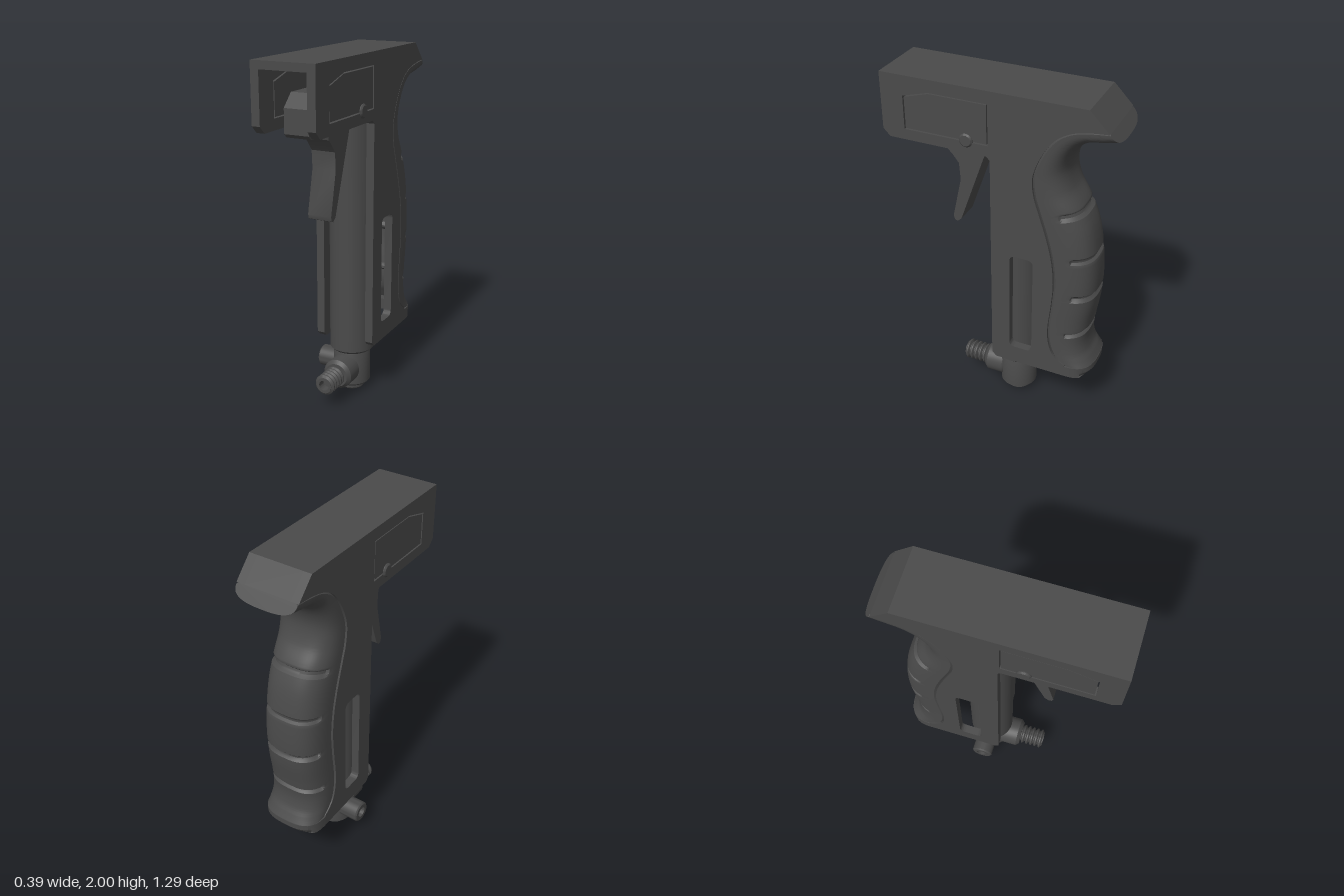
import * as THREE from 'three';
import { toCreasedNormals } from 'three/addons/utils/BufferGeometryUtils.js';

export function createModel() {
  const root = new THREE.Group();
  const body = new THREE.Group();
  body.name = 'sprayHandle';
  body.position.x = 0.005;
  root.add(body);

  const grey = new THREE.MeshStandardMaterial({ color: 0x4a4a4a, side: THREE.DoubleSide });
  grey.name = 'dark grey';

  const add = (name, geo) => {
    const mesh = new THREE.Mesh(geo, grey);
    mesh.name = name;
    body.add(mesh);
    return mesh;
  };
  const shapeOf = (pts) => new THREE.Shape(pts.map(([a, b]) => new THREE.Vector2(a, b)));
  // Extrude a (z, y) outline across x from x0 to x1
  const across = (shape, x0, x1) => {
    const g = new THREE.ExtrudeGeometry(shape, { depth: x1 - x0, bevelEnabled: false, curveSegments: 8 });
    g.rotateY(-Math.PI / 2);
    g.translate(x1, 0, 0);
    return toCreasedNormals(g, 0.5);
  };
  // Lathe from (radius, height) pairs with crisp edges
  const turned = (pts, seg = 40) =>
    toCreasedNormals(new THREE.LatheGeometry(pts.map(([r, h]) => new THREE.Vector2(r, h)), seg), 0.5);

  // Grip stations: [seam z, seam y, back z, back y]
  const stations = [
    [-0.595, 1.893, -0.645, 1.83], [-0.5, 1.883, -0.585, 1.812], [-0.4, 1.858, -0.495, 1.797],
    [-0.315, 1.8, -0.43, 1.755], [-0.25, 1.7, -0.382, 1.685], [-0.207, 1.58, -0.365, 1.6],
    [-0.213, 1.47, -0.39, 1.5], [-0.243, 1.37, -0.45, 1.4], [-0.285, 1.24, -0.505, 1.27],
    [-0.32, 1.1, -0.535, 1.11], [-0.336, 0.95, -0.547, 0.95], [-0.328, 0.8, -0.542, 0.8],
    [-0.313, 0.65, -0.522, 0.66], [-0.316, 0.55, -0.51, 0.55], [-0.338, 0.47, -0.52, 0.475],
    [-0.375, 0.425, -0.545, 0.425], [-0.42, 0.395, -0.567, 0.385],
  ];
  const curve = (k) => new THREE.CatmullRomCurve3(
    stations.map((s) => new THREE.Vector3(0, s[k + 1], s[k])), false, 'catmullrom', 0.5);
  const seam = curve(0), back = curve(2);

  // Side plates with slot and panel opening
  const panel = (d) => [[0.52 - d, 1.7 + d], [0.04 + d, 1.7 + d], [0.04 + d, 1.93 - d],
    [0.37, 1.93 - d], [0.52 - d, 1.888 - d]];
  const outline = [[-0.49, 2], [0.65, 2], [0.65, 1.68], [0.61, 1.64], [0.05, 1.64], [0.03, 1.62],
    [0.03, 0.345], [0.005, 0.32], [-0.42, 0.32]];
  for (let i = 80; i >= 0; i--) {
    const p = seam.getPoint(i / 80);
    outline.push([p.z, p.y]);
  }
  const plate = shapeOf(outline);
  const slot = new THREE.Path();
  const [s0, s1, b0, b1, r] = [-0.217, -0.08, 0.43, 1.063, 0.035];
  slot.moveTo(s0 + r, b0).lineTo(s1 - r, b0).quadraticCurveTo(s1, b0, s1, b0 + r)
    .lineTo(s1, b1 - r).quadraticCurveTo(s1, b1, s1 - r, b1)
    .lineTo(s0 + r, b1).quadraticCurveTo(s0, b1, s0, b1 - r)
    .lineTo(s0, b0 + r).quadraticCurveTo(s0, b0, s0 + r, b0);
  plate.holes.push(slot, shapeOf(panel(0)));
  const inner = 0.133, W = 0.18;
  add('leftSidePlate', across(plate, inner, W));
  add('rightSidePlate', across(plate, -W, -inner));
  add('leftPanel', across(shapeOf(panel(0.007)), inner, W - 0.002));
  add('rightPanel', across(shapeOf(panel(0.007)), -W + 0.002, -inner));

  // Roof between the plates, sloping down at the rear
  add('roof', across(shapeOf([[0.65, 2], [0.65, 1.957], [-0.46, 1.957], [-0.5, 1.883],
    [-0.595, 1.893], [-0.49, 2]]), -inner, inner));

  // Rounded grip: cross-sections swept along seam and back, with finger grooves
  const N = 260, M = 30, grooves = [1.375, 1.11, 0.865, 0.61];
  const pos = [], idx = [];
  for (let i = 0; i <= N; i++) {
    const f = seam.getPoint(i / N), b = back.getPoint(i / N);
    const len = f.distanceTo(b);
    const cut = Math.max(...grooves.map((g) => THREE.MathUtils.smoothstep(0.02 - Math.abs(b.y - g), 0, 0.012)));
    for (let j = 0; j <= M; j++) {
      let x, d;
      if (j === 0 || j === M) {
        x = (j ? -1 : 1) * (W - 0.014);
        d = 0;
      } else {
        const a = ((j - 1) / (M - 2)) * Math.PI;
        const c = Math.cos(a), s = Math.max(0, Math.sin(a));
        const deep = cut * THREE.MathUtils.smoothstep(s, 0.3, 0.45);
        x = Math.sign(c) * Math.pow(Math.abs(c), 0.72) * (W - 0.003 - 0.014 * deep);
        const lead = Math.min(0.08, 0.014 / len);
        d = lead + (1 - lead) * Math.pow(s, 0.75) - (0.016 * deep) / len;
      }
      pos.push(x, f.y + (b.y - f.y) * d, f.z + (b.z - f.z) * d);
      if (i < N && j < M) {
        const p = i * (M + 1) + j, q = p + M + 1;
        idx.push(p, q, p + 1, q, q + 1, p + 1);
      }
    }
  }
  const gripGeo = new THREE.BufferGeometry();
  gripGeo.setAttribute('position', new THREE.Float32BufferAttribute(pos, 3));
  gripGeo.setIndex(idx);
  add('grip', toCreasedNormals(gripGeo, 0.6));

  // Cap closing the upper lip of the grip
  const cap = [];
  for (let j = 1; j < M; j++) {
    for (const k of [0, j, j + 1]) cap.push(pos[k * 3], pos[k * 3 + 1], pos[k * 3 + 2]);
  }
  const capGeo = new THREE.BufferGeometry();
  capGeo.setAttribute('position', new THREE.Float32BufferAttribute(cap, 3));
  capGeo.computeVertexNormals();
  add('gripTopLip', capGeo);

  // Open U-shaped lip under the grip
  const arc = (w, depth) => Array.from({ length: 25 }, (_, i) => {
    const a = (i / 24) * Math.PI, c = Math.cos(a);
    return [Math.sign(c) * Math.pow(Math.abs(c), 0.72) * w, 0.42 + depth * Math.pow(Math.abs(Math.sin(a)), 0.75)];
  });
  const lip = new THREE.ExtrudeGeometry(shapeOf([...arc(W, 0.148), ...arc(inner, 0.09).reverse()]),
    { depth: 0.068, steps: 2, bevelEnabled: false });
  lip.rotateX(-Math.PI / 2);
  lip.translate(0, 0.32, 0);
  const lp = lip.attributes.position;
  for (let i = 0; i < lp.count; i++) {
    if (lp.getY(i) < 0.33 && lp.getZ(i) < -0.52) lp.setZ(i, lp.getZ(i) + 0.025);
  }
  add('gripBottomLip', toCreasedNormals(lip, 0.5));

  // Main tube and fitting below it
  const axisZ = -0.066;
  add('mainTube', turned([[0, 0.25], [0.115, 0.25], [0.13, 0.265], [0.13, 1.66], [0, 1.66]])).position.z = axisZ;
  add('lowerFitting', turned([[0, 0.035], [0.095, 0.035], [0.108, 0.048], [0.108, 0.24], [0.1, 0.26], [0, 0.26]]))
    .position.z = axisZ;
  add('bottomPlug', turned([[0, 0.02], [0.035, 0.02], [0.035, 0], [0.066, 0], [0.073, 0.008], [0.073, 0.04]]))
    .position.z = axisZ;

  // Front hose barb with collar
  const barb = [[0, 0], [0.075, 0], [0.088, 0.015], [0.088, 0.115], [0.07, 0.135], [0.045, 0.135]];
  for (let i = 0; i < 5; i++) {
    const h = 0.14 + i * 0.028;
    barb.push([0.046, h], [0.06, h + 0.008], [0.06, h + 0.015], [0.046, h + 0.024]);
  }
  barb.push([0.046, 0.28], [0.03, 0.28], [0.03, 0.23], [0, 0.23]);
  const hose = add('hoseBarb', turned(barb));
  hose.rotation.x = Math.PI / 2;
  hose.position.set(0, 0.145, 0);

  // Side port
  const port = add('sidePort', turned([[0.063, 0], [0.063, 0.197], [0.055, 0.205], [0.032, 0.205], [0.032, 0.17], [0, 0.17]]));
  port.rotation.z = Math.PI / 2;
  port.position.set(0, 0.145, -0.076);

  // Trigger, its carrier and pivot pin
  add('trigger', across(shapeOf([[0.53, 1.63], [0.51, 1.61], [0.34, 1.61], [0.33, 1.575], [0.3, 1.545],
    [0.265, 1.5], [0.258, 1.4], [0.31, 1.16], [0.303, 1.135], [0.287, 1.128], [0.262, 1.15],
    [0.09, 1.64], [0.09, 1.83], [0.46, 1.83], [0.53, 1.76]]), -0.07, 0.07));
  add('triggerCarrier', across(shapeOf([[0.32, 1.66], [0.0, 1.66], [0.0, 1.78], [0.28, 1.78], [0.32, 1.75]]), -0.13, 0.13));
  const pin = add('pivotPin', turned([[0, -0.19], [0.03, -0.19], [0.038, -0.182], [0.038, 0.182], [0.03, 0.19], [0, 0.19]], 32));
  pin.rotation.z = Math.PI / 2;
  pin.position.set(0, 1.708, 0.163);

  return root;
}
